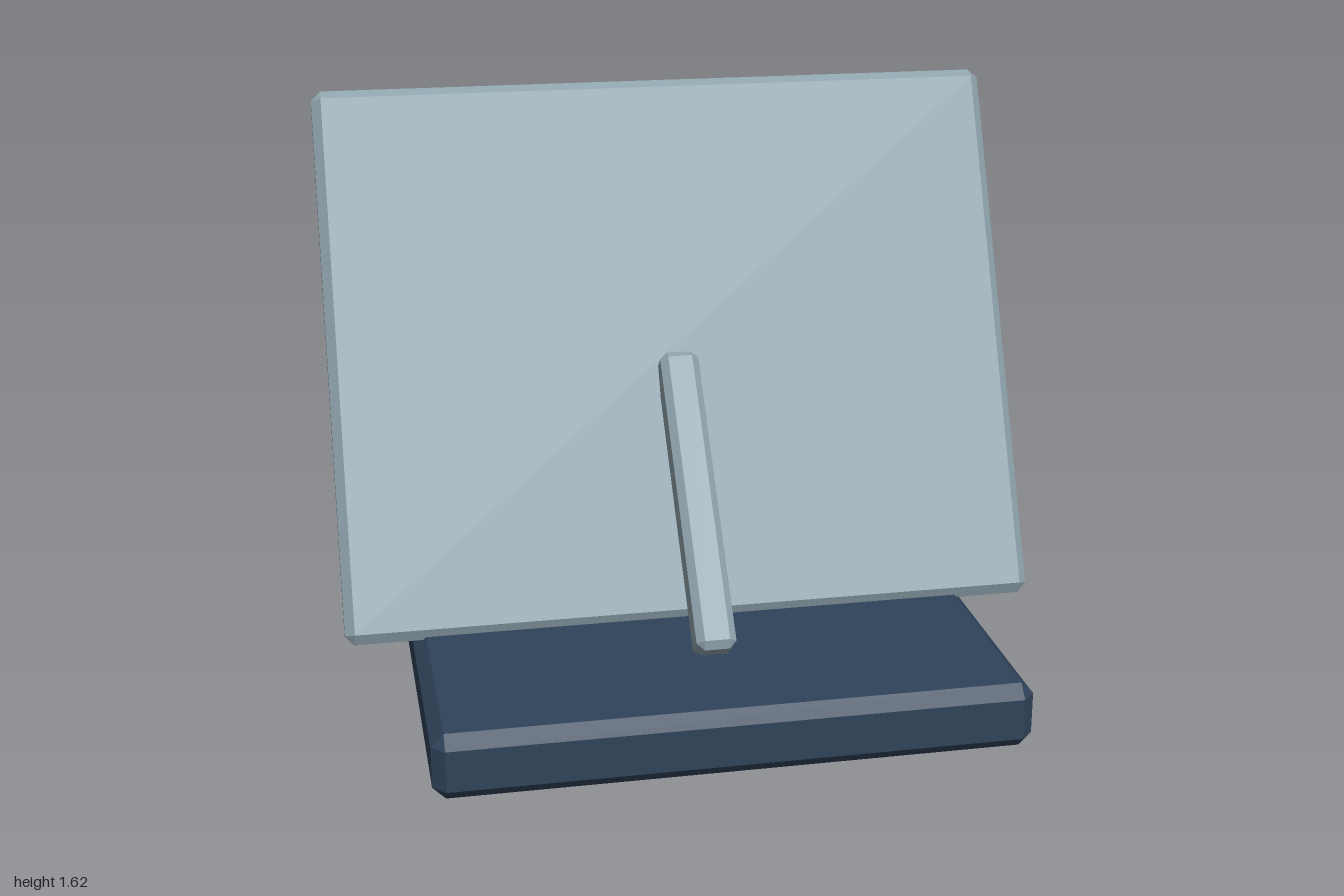
import * as THREE from 'three';
import { ConvexGeometry } from 'three/addons/geometries/ConvexGeometry.js';

const frameMat = new THREE.MeshStandardMaterial({ color: 0x90a4ae, flatShading: true });
const navyMat = new THREE.MeshStandardMaterial({ color: 0x30435a, flatShading: true });

// Box with flat chamfers of size c: hull of the six inset faces
function chamferBox(name, w, h, d, c, material) {
  const half = [w / 2, h / 2, d / 2];
  const points = [];
  for (const sx of [-1, 1]) for (const sy of [-1, 1]) for (const sz of [-1, 1]) {
    for (let axis = 0; axis < 3; axis++) {
      const p = [sx, sy, sz].map((s, i) => s * (half[i] - (i === axis ? 0 : c)));
      points.push(new THREE.Vector3(...p));
    }
  }
  const mesh = new THREE.Mesh(new ConvexGeometry(points), material);
  mesh.name = name;
  return mesh;
}

export function createModel() {
  const model = new THREE.Group();
  model.name = 'tiltedPanelOnBase';

  // Flat base slab
  const base = chamferBox('base', 1.62, 0.186, 1.34, 0.035, navyMat);
  base.position.set(0, 0.093, 0.03);
  model.add(base);

  // Leaning board with its cells on the back
  const panel = new THREE.Group();
  panel.name = 'panel';
  panel.position.set(0, 0.8825, -0.3);
  panel.rotation.x = -0.435;
  panel.add(chamferBox('board', 2, 1.59, 0.126, 0.027, frameMat));
  for (const column of [-1, 1]) {
    for (const row of [-1, 0, 1]) {
      const cell = chamferBox('cell', 0.8, 0.395, 0.04, 0.012, navyMat);
      cell.position.set(column * 0.442, row * 0.48, -0.106);
      panel.add(cell);
    }
  }
  model.add(panel);

  // Diagonal prop between base and board
  const strut = chamferBox('strut', 0.112, 0.89, 0.112, 0.021, frameMat);
  strut.position.set(0, 0.537, 0.063);
  strut.rotation.x = -0.702;
  model.add(strut);

  return model;
}
